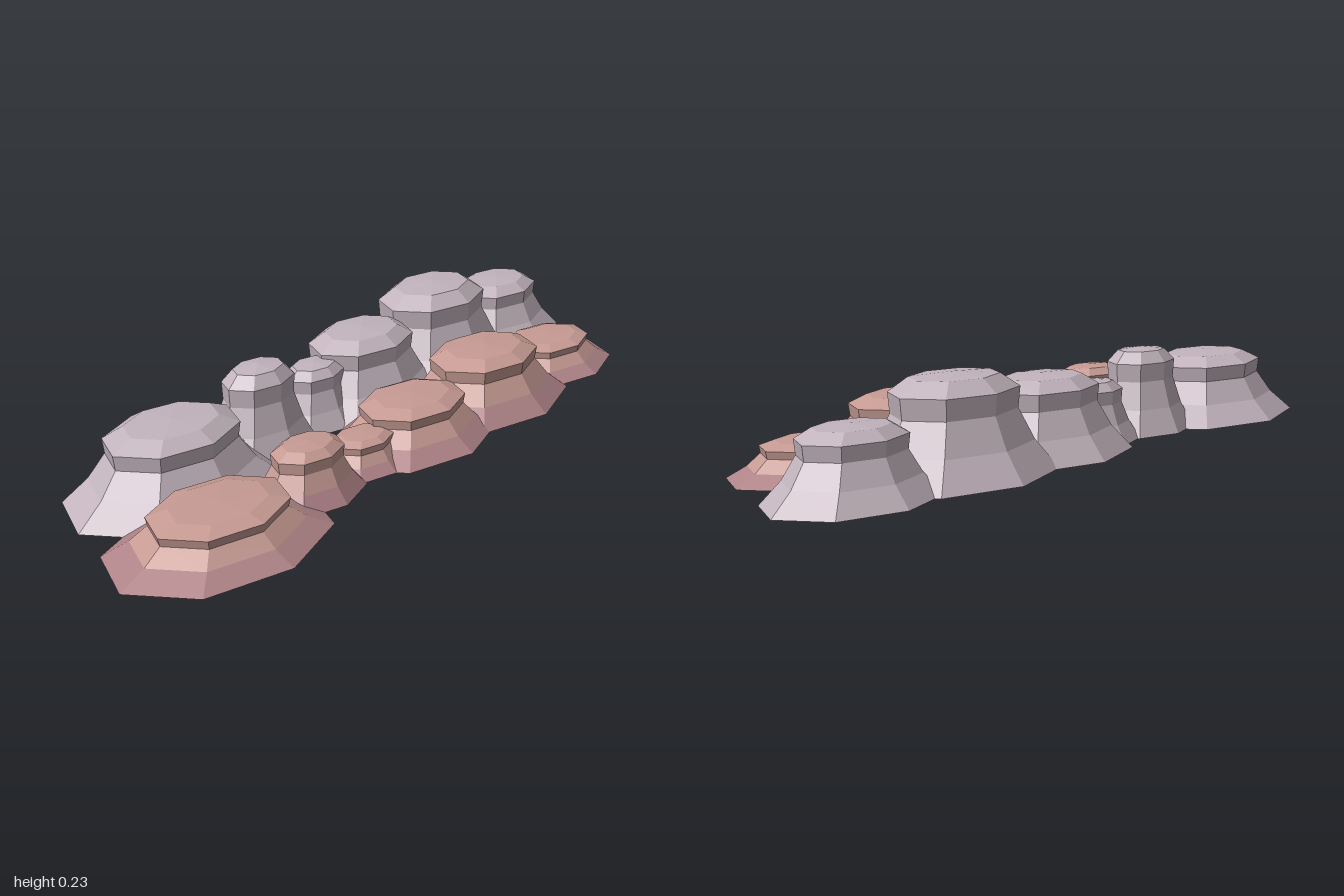
import * as THREE from 'three';

// Profile rings from the ground to the cap: [radius factor, height factor]
const SKIRT = [[1, 0], [0.76, 0.3]];
const BODY = [[0.76, 0.3], [0.6, 0.62], [0.62, 0.83], [0.43, 0.965], [0, 1]];
const DEPTH = 0.7; // each mesa is an octagon squashed front to back

// Mesas in each row: [x, base radius, height]
const BACK = [
  [-0.57, 0.30, 0.175], [-0.27, 0.17, 0.215], [-0.06, 0.15, 0.155],
  [0.135, 0.265, 0.195], [0.45, 0.285, 0.235], [0.77, 0.23, 0.165],
];
const FRONT = [
  [-0.70, 0.30, 0.095], [-0.40, 0.165, 0.13], [-0.195, 0.145, 0.08],
  [0.005, 0.26, 0.115], [0.32, 0.28, 0.15], [0.64, 0.225, 0.085],
];

function material(name, color) {
  const m = new THREE.MeshStandardMaterial({ color, flatShading: true, side: THREE.DoubleSide });
  m.name = name;
  return m;
}

// Eight-sided open shell turned from a profile
function shell(name, profile, radius, height, mat) {
  const points = profile.map(([r, y]) => new THREE.Vector2(r * radius, y * height));
  const geometry = new THREE.LatheGeometry(points, 8).scale(1, 1, DEPTH).toNonIndexed();
  geometry.computeVertexNormals();
  const mesh = new THREE.Mesh(geometry, mat);
  mesh.name = name;
  return mesh;
}

function ridge(name, mesas, z, bodyMat, skirtMat) {
  const row = new THREE.Group();
  row.name = name;
  mesas.forEach(([x, radius, height], i) => {
    const mesa = new THREE.Group();
    mesa.name = `mesa${i + 1}`;
    mesa.position.set(x, 0, z);
    mesa.add(shell('skirt', SKIRT, radius, height, skirtMat));
    mesa.add(shell('rockBody', BODY, radius, height, bodyMat));
    row.add(mesa);
  });
  return row;
}

export function createModel() {
  const mauve = material('mauveRock', 0xc3b4bd);
  const clay = material('clayRock', 0xc79b94);
  const dusk = material('duskyRock', 0xb08488);

  const model = new THREE.Group();
  model.name = 'mesaRange';
  model.add(ridge('backRidge', BACK, -0.13, mauve, mauve));
  model.add(ridge('frontRidge', FRONT, 0.13, clay, dusk));
  return model;
}
